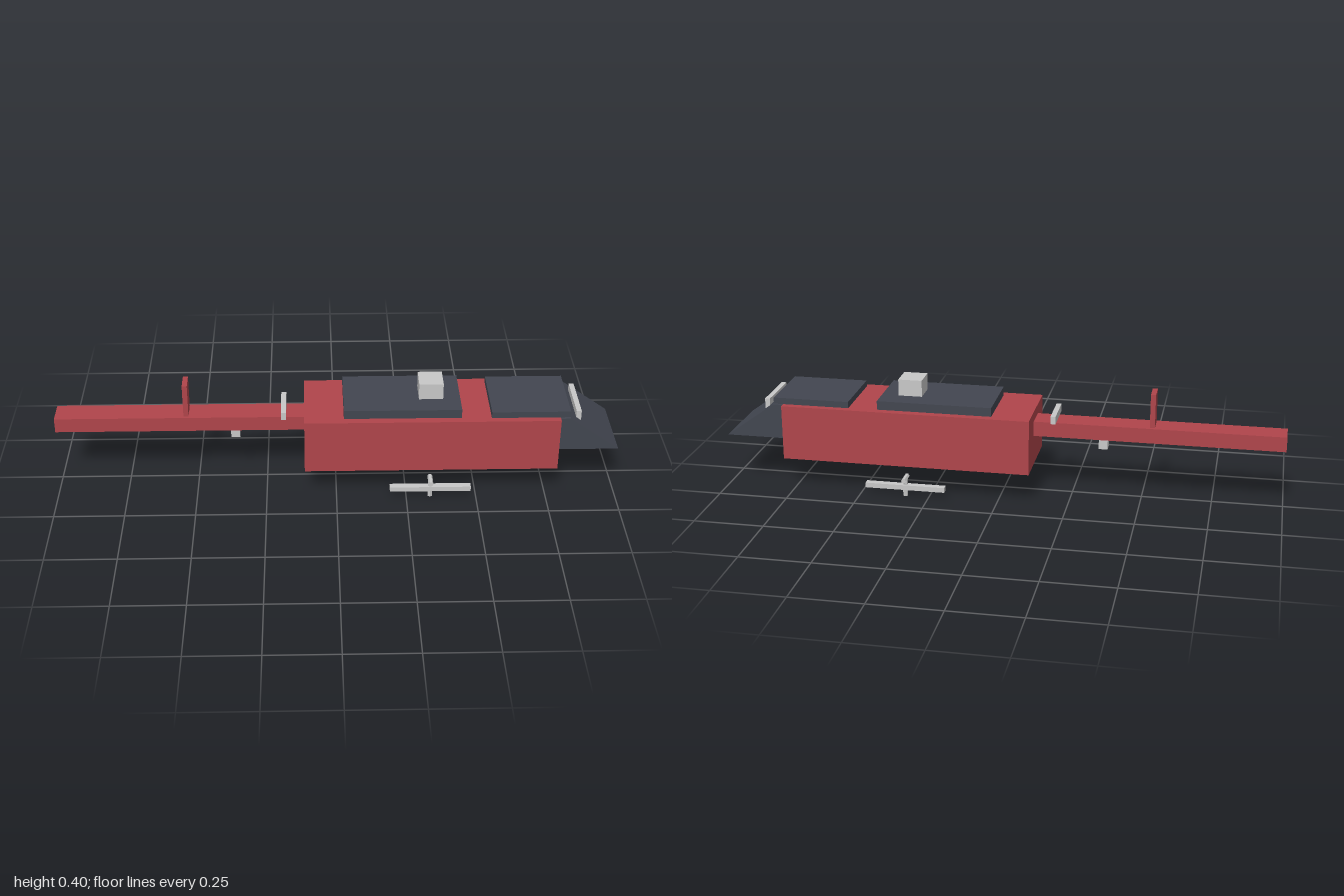
import * as THREE from 'three';

const flat = (name, color) => {
  const m = new THREE.MeshStandardMaterial({ color });
  m.name = name;
  return m;
};

export function createModel() {
  const red = flat('red', 0xb0454b);
  const dark = flat('charcoal', 0x424650);
  const grey = flat('light grey', 0xc8c8c8);
  const model = new THREE.Group();
  model.name = 'helicopter';

  const add = (parent, name, geometry, material) => {
    const mesh = new THREE.Mesh(geometry, material);
    mesh.name = name;
    parent.add(mesh);
    return mesh;
  };
  // Box from its x and y limits and half depth, centred on z
  const box = (parent, name, x0, x1, y0, y1, halfZ, material, z = 0) => {
    const mesh = add(parent, name, new THREE.BoxGeometry(x1 - x0, y1 - y0, halfZ * 2), material);
    mesh.position.set((x0 + x1) / 2, (y0 + y1) / 2, z);
    return mesh;
  };

  // Fuselage and tail
  box(model, 'body', -0.113, 0.787, 0.112, 0.312, 0.148, red);
  box(model, 'tailBoom', -1, -0.113, 0.223, 0.277, 0.046, red);
  box(model, 'tailFin', -0.542, -0.524, 0.277, 0.4, 0.035, red);
  box(model, 'tailBlock', -0.376, -0.344, 0.18, 0.223, 0.022, grey);
  box(model, 'tailCrossbar', -0.195, -0.177, 0.281, 0.309, 0.072, grey);

  // Roof panels and mast block
  box(model, 'rearRoofPanel', 0.026, 0.44, 0.312, 0.344, 0.12, dark);
  box(model, 'frontRoofPanel', 0.545, 0.822, 0.312, 0.335, 0.124, dark);
  box(model, 'mastBlock', 0.293, 0.379, 0.344, 0.404, 0.045, grey);

  // Wedge nose
  const profile = new THREE.Shape([
    new THREE.Vector2(0.787, 0.185),
    new THREE.Vector2(1, 0.185),
    new THREE.Vector2(0.822, 0.312),
    new THREE.Vector2(0.787, 0.312),
  ]);
  const nose = new THREE.ExtrudeGeometry(profile, { depth: 0.268, bevelEnabled: false });
  add(model, 'nose', nose.translate(0, 0, -0.134), dark);
  box(model, 'noseBar', 0.847, 0.865, 0.279, 0.319, 0.095, grey);

  // Skids with six-sided post and crosspiece
  for (const side of [-1, 1]) {
    const skid = new THREE.Group();
    skid.name = side > 0 ? 'frontSkid' : 'backSkid';
    skid.position.set(0.336, 0, side * 0.144);
    model.add(skid);
    box(skid, 'skidBar', -0.145, 0.145, 0.025, 0.043, 0.012, grey);
    const post = new THREE.CylinderGeometry(0.009, 0.009, 0.066, 6).toNonIndexed();
    post.computeVertexNormals();
    add(skid, 'skidPost', post.translate(0, 0.033, 0), grey);
    const cross = new THREE.CylinderGeometry(0.009, 0.009, 0.055, 6).toNonIndexed();
    cross.computeVertexNormals();
    cross.rotateY(Math.PI / 6).rotateX(Math.PI / 2);
    add(skid, 'skidCrosspiece', cross.translate(0, 0.0655, 0), grey);
  }

  return model;
}
